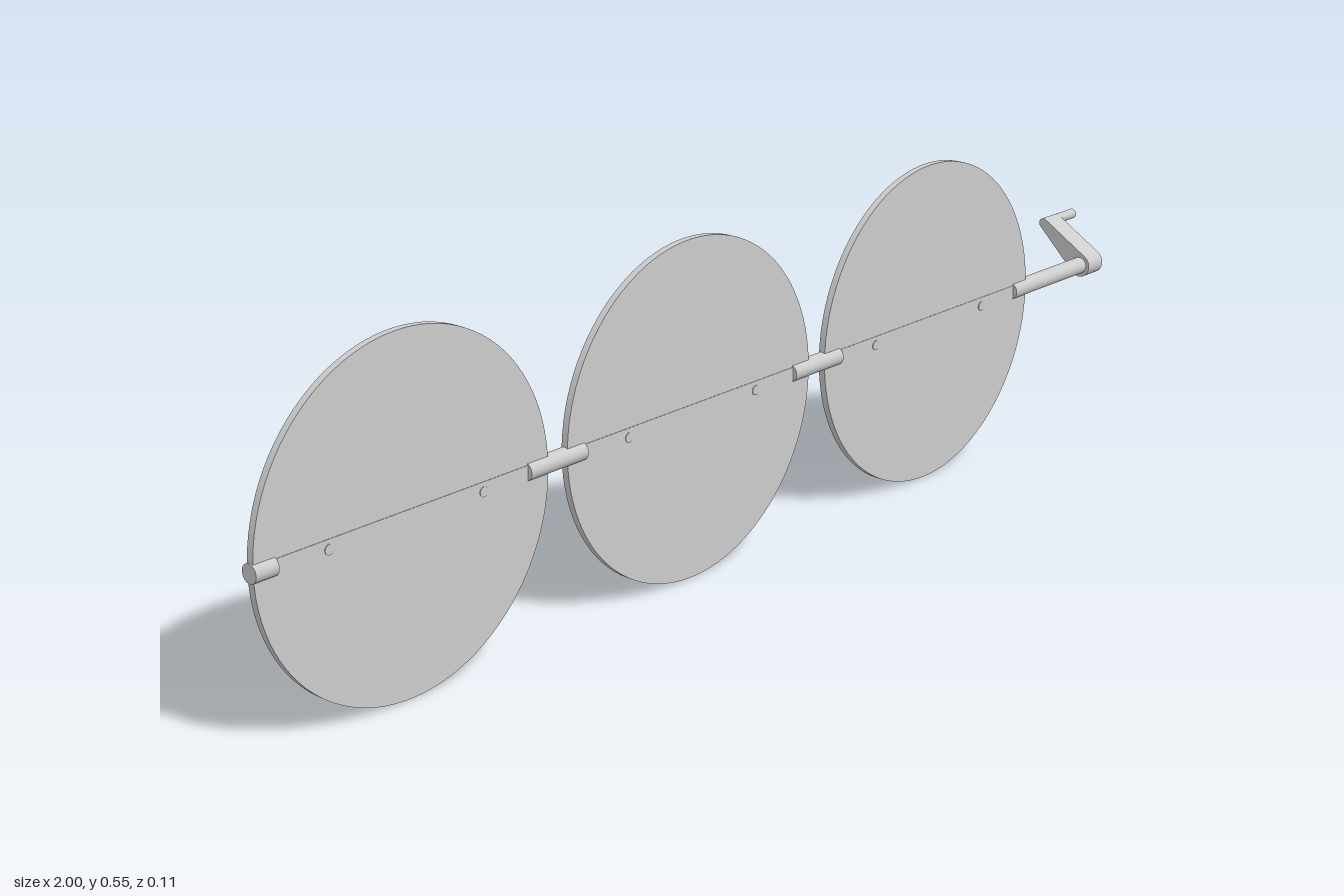
import * as THREE from 'three';

const Y = 0.276, Z = 0.035, R = 0.276;

export function createModel() {
  const model = new THREE.Group();
  const material = new THREE.MeshStandardMaterial({ color: 0xcccccc });

  const add = (name, geometry, x, y, z) => {
    const mesh = new THREE.Mesh(geometry, material);
    mesh.name = name;
    mesh.position.set(x, y, z);
    model.add(mesh);
    return mesh;
  };

  // Round rod along x
  const rod = (name, x0, x1, r, y, z) => {
    const g = new THREE.CylinderGeometry(r, r, x1 - x0, 32).rotateZ(Math.PI / 2);
    return add(name, g, (x0 + x1) / 2, y, z);
  };

  // Three valve plates, each with a flattened shaft core and two screws
  [-0.722, -0.13, 0.462].forEach((cx) => {
    add('valvePlate', new THREE.CylinderGeometry(R, R, 0.012, 96).rotateX(Math.PI / 2), cx, Y, Z);
    add('shaftFlat', new THREE.BoxGeometry(0.5, 0.022, 0.0135), cx, Y, Z);
    for (const side of [-1, 1]) {
      add('screw', new THREE.CylinderGeometry(0.008, 0.008, 0.016, 20).rotateX(Math.PI / 2),
        cx + side * 0.145, Y - 0.004, Z);
    }
  });

  // Exposed round lengths of the shaft
  [[-1, -0.96], [-0.488, -0.37], [0.106, 0.224], [0.7, 0.93]].forEach(([a, b]) =>
    rod('shaft', a, b, 0.0148, Y, Z));

  // Tapered crank arm: outline of two circles joined by their tangents
  const pinY = 0.339, pinZ = -0.0465, bigR = 0.021, smallR = 0.009;
  const dz = Z - pinZ, dy = pinY - Y;
  const angle = Math.atan2(dy, dz);
  const spread = Math.acos((bigR - smallR) / Math.hypot(dz, dy));
  const outline = new THREE.Shape();
  outline.absarc(0, 0, bigR, angle + spread, angle - spread + 2 * Math.PI, false);
  outline.absarc(dz, dy, smallR, angle - spread, angle + spread, false);
  outline.closePath();
  const arm = new THREE.ExtrudeGeometry(outline, { depth: 0.042, bevelEnabled: false, curveSegments: 28 });
  add('crankArm', arm.rotateY(Math.PI / 2), 0.91, Y, Z);

  // Crank pin
  rod('crankPin', 0.93, 1, 0.0088, pinY, pinZ);

  return model;
}
